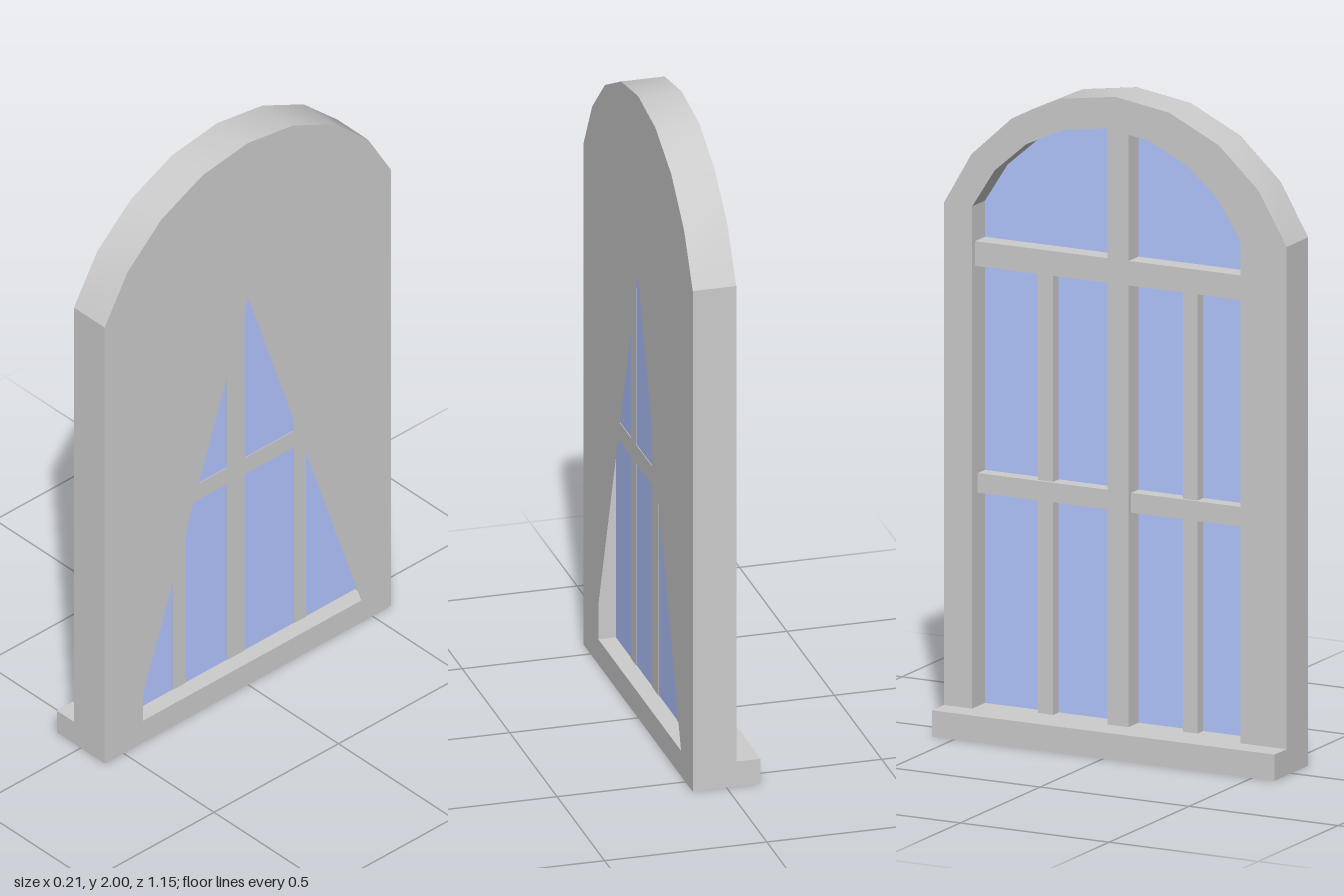
import * as THREE from 'three';
import { toCreasedNormals } from 'three/addons/utils/BufferGeometryUtils.js';

const FRONT = -0.03, BACK = 0.105, GLASS_X = 0.05, SILL_TOP = 0.08;

// Outline with straight sides and a segmental arch, traced counter-clockwise
function archPoints(centre, halfWidth, bottom, spring, top, segments = 8) {
  const rise = top - spring;
  const r = (halfWidth ** 2 + rise ** 2) / (2 * rise);
  const half = Math.asin(halfWidth / r);
  const pts = [
    new THREE.Vector2(centre - halfWidth, bottom),
    new THREE.Vector2(centre + halfWidth, bottom),
  ];
  for (let i = 0; i <= segments; i++) {
    const a = half * (1 - (2 * i) / segments);
    pts.push(new THREE.Vector2(centre + r * Math.sin(a), top - r + r * Math.cos(a)));
  }
  return pts;
}

export function createModel() {
  const group = new THREE.Group();
  const grey = new THREE.MeshStandardMaterial({ color: 0xcccccc });
  const greyThin = new THREE.MeshStandardMaterial({ color: 0xcccccc, side: THREE.DoubleSide });
  const blue = new THREE.MeshStandardMaterial({ color: 0xb2c5ff, side: THREE.DoubleSide });

  function add(name, geometry, material = grey) {
    const mesh = new THREE.Mesh(geometry, material);
    mesh.name = name;
    group.add(mesh);
  }

  // Box given by its limits
  function bar(name, x0, x1, y0, y1, z0, z1) {
    const g = new THREE.BoxGeometry(x1 - x0, y1 - y0, z1 - z0);
    g.translate((x0 + x1) / 2, (y0 + y1) / 2, (z0 + z1) / 2);
    add(name, g);
  }

  // Shapes are drawn with -z to the right, then turned to face +x
  const outer = archPoints(0, 0.575, 0, 1.61, 2);
  const opening = archPoints(0.03, 0.45, SILL_TOP, 1.61, 1.9);

  // Arched frame
  const frameShape = new THREE.Shape(outer);
  frameShape.holes.push(new THREE.Path(opening));
  const frame = new THREE.ExtrudeGeometry(frameShape, { depth: BACK - 0.001 - FRONT, bevelEnabled: false });
  frame.rotateY(Math.PI / 2).translate(FRONT, 0, 0);
  add('archedFrame', toCreasedNormals(frame, 0.5));

  // Flat backing with a triangular opening
  const backing = new THREE.Shape(outer);
  backing.holes.push(new THREE.Path([
    new THREE.Vector2(-0.455, SILL_TOP),
    new THREE.Vector2(0, 1.43),
    new THREE.Vector2(0.455, SILL_TOP),
  ]));
  add('backing', new THREE.ShapeGeometry(backing).rotateY(Math.PI / 2).translate(BACK, 0, 0), greyThin);

  // Glass filling the arched opening
  add('glass', new THREE.ShapeGeometry(new THREE.Shape(opening)).rotateY(Math.PI / 2).translate(GLASS_X, 0, 0), blue);

  // Projecting sill
  bar('sill', -0.105, FRONT, 0, SILL_TOP, -0.575, 0.575);

  // Heavy mullion and transom; every bar reaches just through the glass
  const barBack = GLASS_X + 0.002;
  bar('mullion', -0.012, barBack, SILL_TOP, 1.91, -0.035, 0.035);
  bar('transom', -0.011, barBack, 1.425, 1.5, -0.48, 0.42);

  // Slim glazing bars in the two lower lights
  for (const [z0, z1] of [[-0.48, -0.035], [0.035, 0.42]]) {
    const mid = (z0 + z1) / 2;
    bar('uprightGlazingBar', 0.015, barBack, SILL_TOP, 1.425, mid - 0.025, mid + 0.025);
    bar('crossGlazingBar', 0.005, barBack, 0.73, 0.79, z0, z1);
  }

  return group;
}
